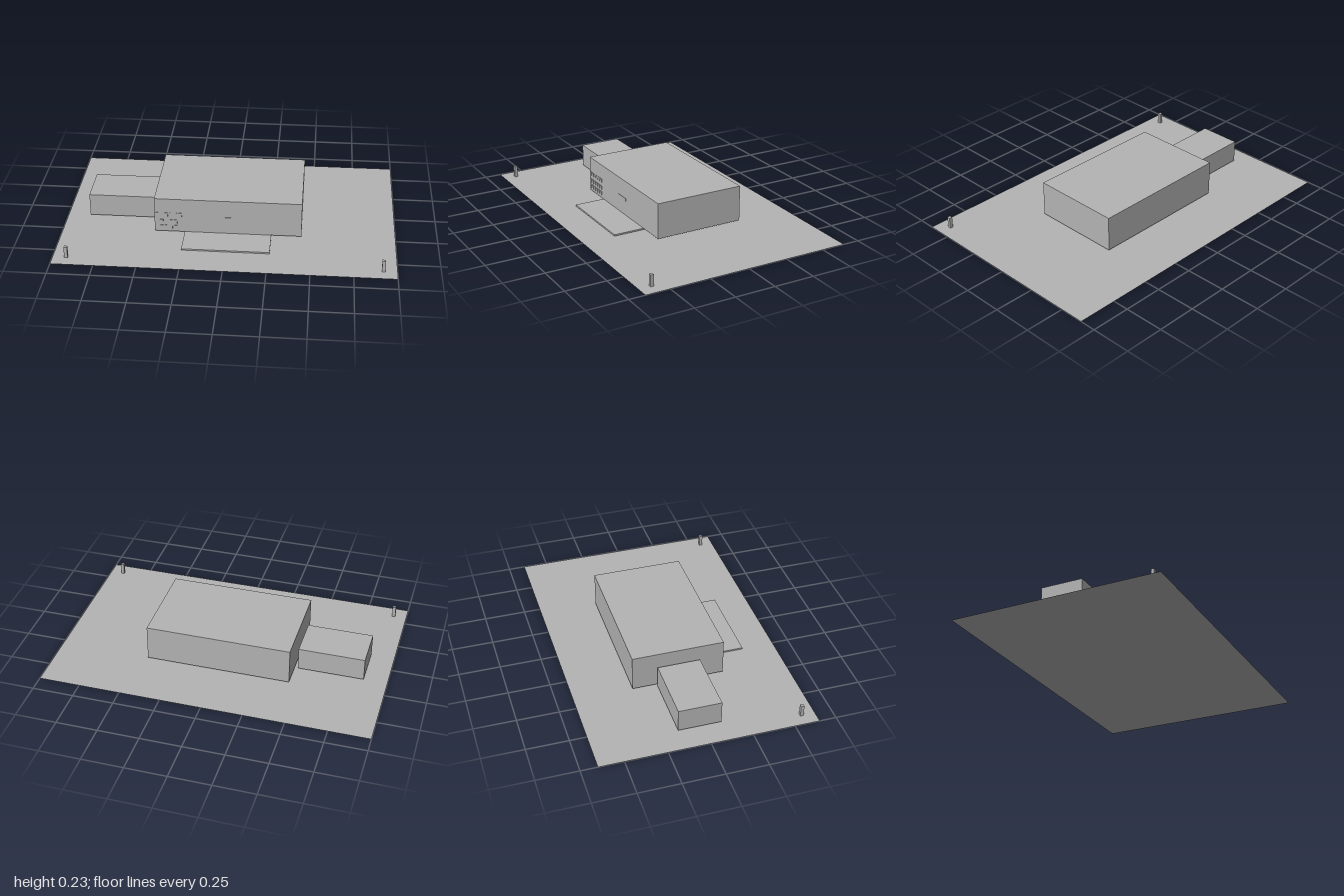
import * as THREE from 'three';

const concrete = new THREE.MeshStandardMaterial({ color: 0xb4b4b4, side: THREE.DoubleSide });
concrete.name = 'concrete grey';

// Box given by its minimum and maximum on each axis
function block(name, [x0, x1], [y0, y1], [z0, z1]) {
  const mesh = new THREE.Mesh(new THREE.BoxGeometry(x1 - x0, y1 - y0, z1 - z0), concrete);
  mesh.position.set((x0 + x1) / 2, (y0 + y1) / 2, (z0 + z1) / 2);
  mesh.name = name;
  return mesh;
}

export function createModel() {
  const model = new THREE.Group();
  model.name = 'buildingSite';

  // Flat ground sheet
  const ground = new THREE.Mesh(new THREE.PlaneGeometry(2, 1.3), concrete);
  ground.rotation.x = -Math.PI / 2;
  ground.name = 'ground';
  model.add(ground);

  // Main hall, side annex and entrance apron
  model.add(
    block('mainHall', [-0.44, 0.44], [0.015, 0.235], [-0.297, 0.26]),
    block('annex', [-0.86, -0.46], [0.015, 0.155], [-0.15, 0.108]),
    block('entranceApron', [-0.26, 0.26], [0.004, 0.013], [0.195, 0.45])
  );

  // Grid of small windows at the right end of the front wall
  const windows = new THREE.Group();
  windows.name = 'windows';
  for (let column = 0; column < 6; column++) {
    for (const y of [0.13, 0.083, 0.045]) {
      const x = -0.425 + column * 0.028;
      windows.add(block('window', [x - 0.009, x + 0.009], [y - 0.012, y + 0.012], [0.259, 0.263]));
    }
  }
  model.add(windows);

  // Blank panel in the middle of the front wall
  model.add(block('frontPanel', [-0.05, 0.045], [0.105, 0.125], [0.259, 0.263]));

  // Gate posts at the front corners
  for (const x of [-0.92, 0.92]) {
    model.add(block('gatePost', [x - 0.01, x + 0.01], [0, 0.07], [0.56, 0.58]));
  }
  return model;
}
